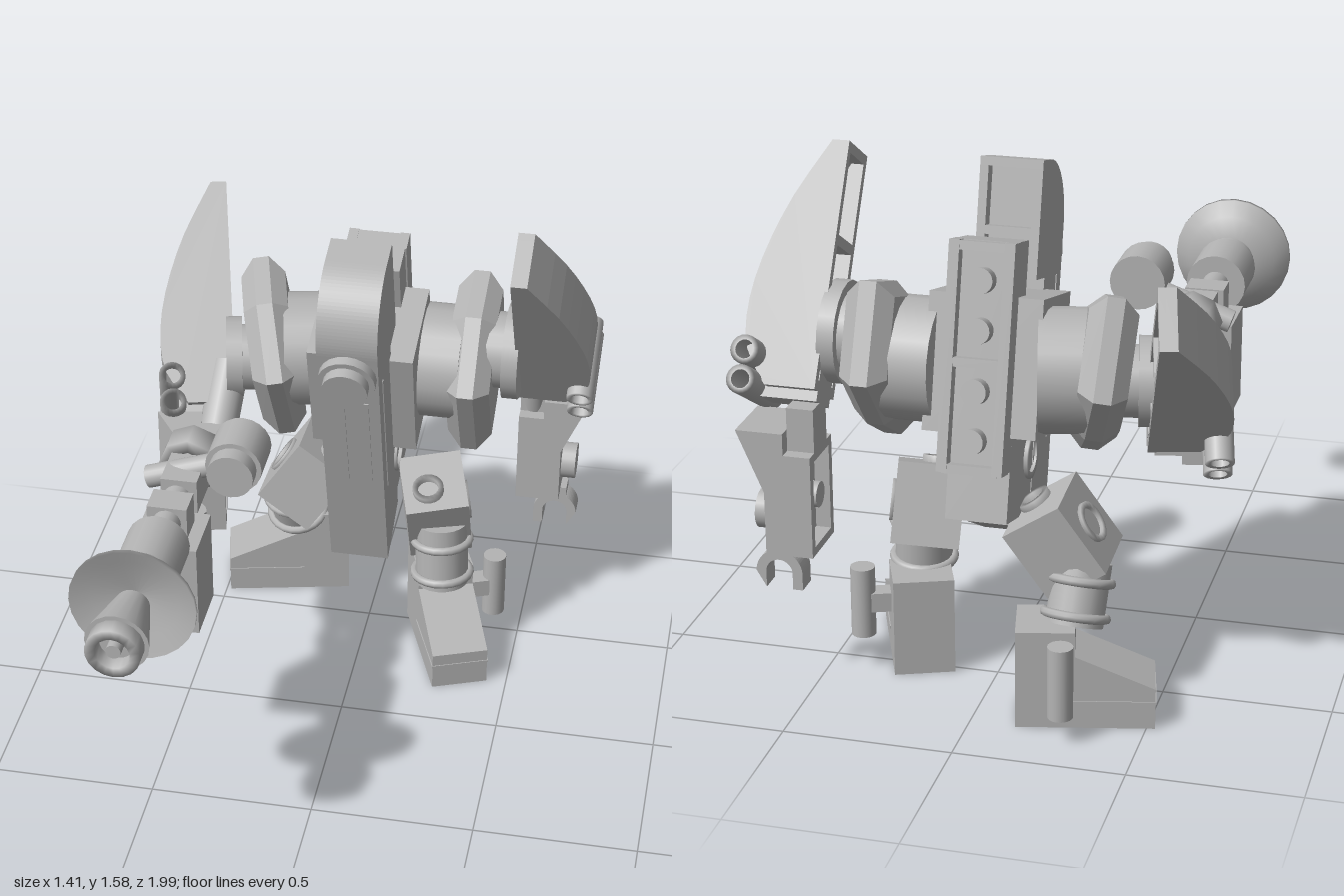
import * as THREE from 'three';

const gray = new THREE.MeshStandardMaterial({ color: 0xb4b4b4 });
gray.name = 'plain gray';
const openGray = new THREE.MeshStandardMaterial({ color: 0xb4b4b4, side: THREE.DoubleSide });
openGray.name = 'plain gray two sided';
const V = (x, y, z) => new THREE.Vector3(x, y, z);

function add(parent, name, geo, mat = gray) {
  const m = new THREE.Mesh(geo, mat);
  m.name = name;
  parent.add(m);
  return m;
}
function group(parent, name, x, y, z, rx = 0, ry = 0, rz = 0) {
  const g = new THREE.Group();
  g.name = name;
  g.position.set(x, y, z);
  g.rotation.set(rx, ry, rz, 'YXZ');
  parent.add(g);
  return g;
}
// box between two opposite corners
function box(parent, name, x0, x1, y0, y1, z0, z1) {
  const m = add(parent, name, new THREE.BoxGeometry(Math.abs(x1 - x0), y1 - y0, Math.abs(z1 - z0)));
  m.position.set((x0 + x1) / 2, (y0 + y1) / 2, (z0 + z1) / 2);
}
// place a y-axis mesh between two points
function span(m, a, b) {
  m.position.lerpVectors(a, b, 0.5);
  m.quaternion.setFromUnitVectors(V(0, 1, 0), b.clone().sub(a).normalize());
}
// cylinder or cone between two points
function rod(parent, name, a, b, r0, r1 = r0) {
  span(add(parent, name, new THREE.CylinderGeometry(r1, r0, a.distanceTo(b), 20)), a, b);
}
// open-ended tube with a wall
function pipe(parent, name, a, b, r, hole, sides = 18) {
  const h = a.distanceTo(b) / 2;
  const pts = [[hole, -h], [r, -h], [r, h], [hole, h], [hole, -h]];
  const geo = new THREE.LatheGeometry(pts.map(p => new THREE.Vector2(...p)), sides);
  span(add(parent, name, geo, openGray), a, b);
}
function poly(pts) {
  return new THREE.Shape(pts.map(p => new THREE.Vector2(p[0], p[1])));
}
// outline extruded along z, centred
function slab(parent, name, pts, depth, z = 0) {
  const geo = new THREE.ExtrudeGeometry(poly(pts), { depth, bevelEnabled: false });
  geo.translate(0, 0, z - depth / 2);
  add(parent, name, geo);
}

// curved fin: flat open inner side, rounded outer shell, twin tubes at the base
function fin(parent, name, s, pos, rx, ry) {
  const g = group(parent, name, ...pos, rx, ry);
  const curve = new THREE.SplineCurve([[0.15, 0], [0.222, 0.12], [0.222, 0.3], [0.155, 0.52], [0.05, 0.72]]
    .map(p => new THREE.Vector2(...p))).getPoints(14).map(p => [p.x, p.y]);
  const flip = pts => pts.map(([x, y]) => [s * x, y]);
  for (const z of [-0.08, 0.08]) slab(g, 'finCheek', flip([[0, 0], ...curve, [0, 0.72]]), 0.025, z);
  const inner = curve.map(([x, y]) => [x - 0.03, y]).reverse();
  slab(g, 'finShell', flip([...curve, ...inner]), 0.14);
  for (const [y, w] of [[0, 0.14], [0.2, 0.2], [0.42, 0.16], [0.69, 0.05]])
    slab(g, 'finRib', flip([[0, y], [w, y], [w, y + 0.03], [0, y + 0.03]]), 0.14);
  for (const y of [0, 0.085]) pipe(g, 'finTube', V(s * 0.198, y, -0.16), V(s * 0.198, y, 0.12), 0.042, 0.027);
  box(g, 'finMount', 0, s * 0.18, -0.03, 0.06, -0.06, 0.06);
}

// lower arm: flared elbow, recessed inner side, outer stud and open claw
function forearm(parent, name, s, pos, rx, ry) {
  const g = group(parent, name, ...pos, rx, ry);
  const pts = [[0.045, 0], [0.14, 0], [0.14, 0.19], [0.22, 0.375], [0.08, 0.375], [0.08, 0.31], [0.045, 0.31]];
  slab(g, 'forearmBlock', pts.map(([x, y]) => [s * x, y]), 0.19);
  for (const y of [0, 0.285]) box(g, 'forearmRim', 0, s * 0.05, y, y + 0.025, -0.095, 0.095);
  for (const z of [-0.095, 0.07]) box(g, 'forearmRim', 0, s * 0.05, 0.02, 0.29, z, z + 0.025);
  rod(g, 'innerStud', V(s * 0.04, 0.16, 0), V(s * 0.005, 0.16, 0), 0.038);
  rod(g, 'outerStud', V(s * 0.12, 0.1, 0), V(s * 0.185, 0.1, 0), 0.058);
  box(g, 'clawNeck', s * 0.125 - 0.035, s * 0.125 + 0.035, -0.04, 0.01, -0.035, 0.035);
  const claw = new THREE.Shape();
  claw.moveTo(0.07, -0.05);
  claw.absarc(0, 0, 0.07, 0, Math.PI, false);
  claw.lineTo(-0.07, -0.05);
  claw.lineTo(-0.04, -0.05);
  claw.absarc(0, 0, 0.04, Math.PI, 0, true);
  claw.lineTo(0.04, -0.05);
  const geo = new THREE.ExtrudeGeometry(claw, { depth: 0.07, bevelEnabled: false, curveSegments: 16 });
  add(g, 'claw', geo).position.set(s * 0.125, -0.085, -0.035);
}

// hollow stepped foot with a side post; local x points to the toe
function foot(parent, name, pos, ry, side) {
  const g = group(parent, name, ...pos, 0, ry);
  const top = [[0.4, 0], [0.4, 0.125], [0.17, 0.225], [0.17, 0.3], [0, 0.3], [0, 0]];
  const under = [[0.025, 0], [0.025, 0.2], [0.15, 0.2], [0.375, 0.1], [0.375, 0]];
  for (const z of [-0.0775, 0.0775]) slab(g, 'footWall', top, 0.025, z);
  slab(g, 'footShell', [...top, ...under], 0.13);
  pipe(g, 'footInnerTube', V(0.16, 0.01, 0), V(0.16, 0.2, 0), 0.045, 0.03);
  box(g, 'footGroove', 0.15, 0.403, 0.078, 0.086, -0.093, 0.093);
  rod(g, 'footPost', V(0.13, 0.08, side * 0.172), V(0.13, 0.3, side * 0.172), 0.037);
  box(g, 'postClip', 0.1, 0.16, 0.16, 0.22, side * 0.08, side * 0.15);
}

// thigh block, ringed shank
function leg(parent, name, s, center, rot, knee, ankle) {
  const g = group(parent, name, 0, 0, 0);
  const t = group(g, 'thigh', ...center, ...rot);
  box(t, 'thighBlock', -0.1, 0.1, -0.12, 0.12, -0.11, 0.11);
  pipe(t, 'thighSocket', V(s * 0.09, 0, 0), V(s * 0.11, 0, 0), 0.062, 0.044);
  pipe(t, 'hipSocket', V(-s * 0.02, 0.1, 0.03), V(-s * 0.02, 0.14, 0.03), 0.05, 0.034);
  const a = V(...knee), b = V(...ankle);
  rod(g, 'shank', a, b, 0.085);
  for (const k of [0.3, 0.85]) {
    const ring = add(g, 'shankRing', new THREE.TorusGeometry(0.09, 0.014, 8, 22));
    ring.position.lerpVectors(a, b, k);
    ring.quaternion.setFromUnitVectors(V(0, 0, 1), b.clone().sub(a).normalize());
  }
}

// shoulder: drum, chamfered armour plate and outer discs
function shoulder(parent, name, s, yaw, roll, discY, discR) {
  const g = group(parent, name, s * 0.17, 1.0, -0.55, 0, yaw);
  rod(g, 'shoulderDrum', V(-s * 0.03, 0, 0), V(s * 0.12, 0, 0), 0.18);
  const pts = [[-0.17, 0], [-0.06, -0.22], [0.06, -0.15], [0.19, 0], [0.1, 0.215], [-0.04, 0.17]];
  const geo = new THREE.ExtrudeGeometry(poly(pts),
    { depth: 0.05, bevelThickness: 0.045, bevelSize: 0.04, bevelSegments: 1 });
  geo.rotateY(Math.PI / 2).translate(-0.025, 0, 0);
  const plate = add(g, 'shoulderArmour', geo);
  plate.position.x = s * 0.15;
  plate.rotation.z = roll;
  rod(g, 'shoulderDisc', V(s * 0.15, discY, 0), V(s * 0.25, discY, 0), discR * 0.8);
  rod(g, 'outerDisc', V(s * 0.25, discY, 0), V(s * 0.3, discY, 0), discR);
}

function trunk(root) {
  const g = group(root, 'trunk', 0, 0.38, -0.31, 0.255);
  // long front beam with rounded crown
  const s = new THREE.Shape();
  s.moveTo(0, 0);
  s.lineTo(0.2, 0.05);
  s.lineTo(0.2, 0.78);
  s.lineTo(0.25, 0.78);
  s.lineTo(0.25, 1.12);
  s.lineTo(0.2, 1.12);
  s.absarc(0.2, 0.92, 0.2, Math.PI / 2, Math.PI, false);
  s.closePath();
  const geo = new THREE.ExtrudeGeometry(s, { depth: 0.185, bevelEnabled: false, curveSegments: 14 });
  geo.translate(0, 0, -0.0925).rotateY(Math.PI / 2);
  add(g, 'frontBeam', geo);
  for (const y of [0.9, 1.095]) box(g, 'crownRim', -0.0925, 0.0925, y, y + 0.025, -0.295, -0.245);
  for (const x of [-0.08, 0.08]) box(g, 'crownRim', x - 0.0125, x + 0.0125, 0.78, 1.1, -0.295, -0.245);
  rod(g, 'frontDisc', V(0, 0.84, -0.05), V(0, 0.84, 0.03), 0.088);
  rod(g, 'frontPeg', V(0, 0.84, 0.03), V(0, 0.84, 0.065), 0.07);
  for (const x of [-0.037, 0.037]) {
    box(g, 'frontInlay', x - 0.021, x + 0.021, 0.38, 0.73, -0.002, 0.004);
    box(g, 'sideInlay', x * 2.5 - 0.003, x * 2.5 + 0.003, 0.3, 0.78, -0.06, -0.052);
  }
  // body and rear column
  box(g, 'body', -0.165, 0.165, 0.35, 0.745, -0.49, -0.17);
  box(g, 'lowerBody', -0.09, 0.09, 0.1, 0.4, -0.46, -0.18);
  box(g, 'rearPlate', -0.09, 0.09, 0.25, 0.9, -0.53, -0.4);
  for (const x of [-0.08, 0.08]) box(g, 'rearRail', x - 0.015, x + 0.015, 0.25, 0.9, -0.57, -0.5);
  for (const y of [0.26, 0.56, 0.885]) box(g, 'rearCrossbar', -0.08, 0.08, y - 0.013, y + 0.013, -0.568, -0.5);
  for (const y of [0.34, 0.48, 0.65, 0.79]) rod(g, 'rearStud', V(0, y, -0.52), V(0, y, -0.575), 0.037);
}

function gun(root) {
  const g = group(root, 'gun', -0.45, 0.93, 0);
  pipe(g, 'muzzle', V(0, 0, 0.94), V(0, 0, 1), 0.08, 0.05);
  rod(g, 'muzzleCone', V(0, 0, 0.77), V(0, 0, 0.95), 0.05, 0.093);
  rod(g, 'muzzlePin', V(0, 0, 0.9), V(0, 0, 0.99), 0.022);
  const dish = add(g, 'dish', new THREE.LatheGeometry([[0, 0], [0.08, 0.012], [0.14, 0.038], [0.185, 0.075],
    [0.185, 0.09], [0.13, 0.058], [0, 0.035]].map(p => new THREE.Vector2(...p)), 24), openGray);
  dish.rotation.x = Math.PI / 2;
  dish.position.z = 0.69;
  rod(g, 'barrelBody', V(0, 0, 0.47), V(0, 0, 0.65), 0.093);
  rod(g, 'barrelCollar', V(0, 0, 0.64), V(0, 0, 0.7), 0.08);
  rod(g, 'barrelRod', V(0, 0, 0.1), V(0, 0, 0.5), 0.042);
  box(g, 'receiver', -0.06, 0.06, -0.06, 0.05, 0.28, 0.37);
  box(g, 'magazine', -0.095, 0.1, -0.35, -0.05, 0.24, 0.43);
  pipe(g, 'gunMount', V(0, 0.015, 0.01), V(0, 0.015, 0.1), 0.092, 0.05, 8);
  box(g, 'gunBracket', -0.05, 0.06, -0.05, 0.06, 0.08, 0.24);
  rod(g, 'gunKnob', V(-0.11, 0, 0.15), V(0.12, 0.08, 0.15), 0.035);
  rod(g, 'sightDrum', V(0.17, 0.12, 0.09), V(0.17, 0.12, 0.23), 0.085);
  rod(g, 'sightCap', V(0.17, 0.12, 0.23), V(0.17, 0.12, 0.28), 0.07);
  rod(g, 'gripRod', V(0, -0.27, 0.145), V(0, 0, 0.145), 0.035);
}

export function createModel() {
  const root = new THREE.Group();
  root.name = 'walkingRobot';
  trunk(root);

  // hips and legs
  pipe(root, 'hipTube', V(-0.1, 0.7, -0.47), V(0.1, 0.7, -0.47), 0.07, 0.05);
  leg(root, 'leftLeg', 1, [0.22, 0.51, -0.46], [0.35, 0.3, 0.12], [0.25, 0.49, -0.4], [0.26, 0.27, -0.38]);
  leg(root, 'rightLeg', -1, [-0.215, 0.5, -0.57], [-0.1, 0, -0.6], [-0.28, 0.44, -0.59], [-0.27, 0.27, -0.66]);
  foot(root, 'leftFoot', [0.208, 0, -0.56], -1.2, -1);
  foot(root, 'rightFoot', [-0.115, 0, -0.723], Math.PI + 0.22, 1);

  // left arm
  shoulder(root, 'leftShoulder', 1, 0, 0, 0.06, 0.15);
  fin(root, 'leftFin', 1, [0.46, 0.91, -0.67], 0.535, 0);
  rod(root, 'leftElbow', V(0.5, 0.76, -0.7), V(0.5, 0.93, -0.66), 0.04);
  box(root, 'leftElbowBlock', 0.46, 0.54, 0.77, 0.9, -0.77, -0.66);
  forearm(root, 'leftForearm', 1, [0.46, 0.46, -0.715], 0, 0);

  // right arm with gun
  shoulder(root, 'rightShoulder', -1, 0.22, 0.14, -0.03, 0.13);
  fin(root, 'rightFin', -1, [-0.425, 0.82, -0.43], -0.8, 0.26);
  rod(root, 'rightElbow', V(-0.45, 0.95, -0.48), V(-0.46, 0.76, -0.27), 0.06);
  forearm(root, 'rightForearm', -1, [-0.36, 0.755, 0.01], -Math.PI / 2, 0.2);
  gun(root);
  return root;
}
